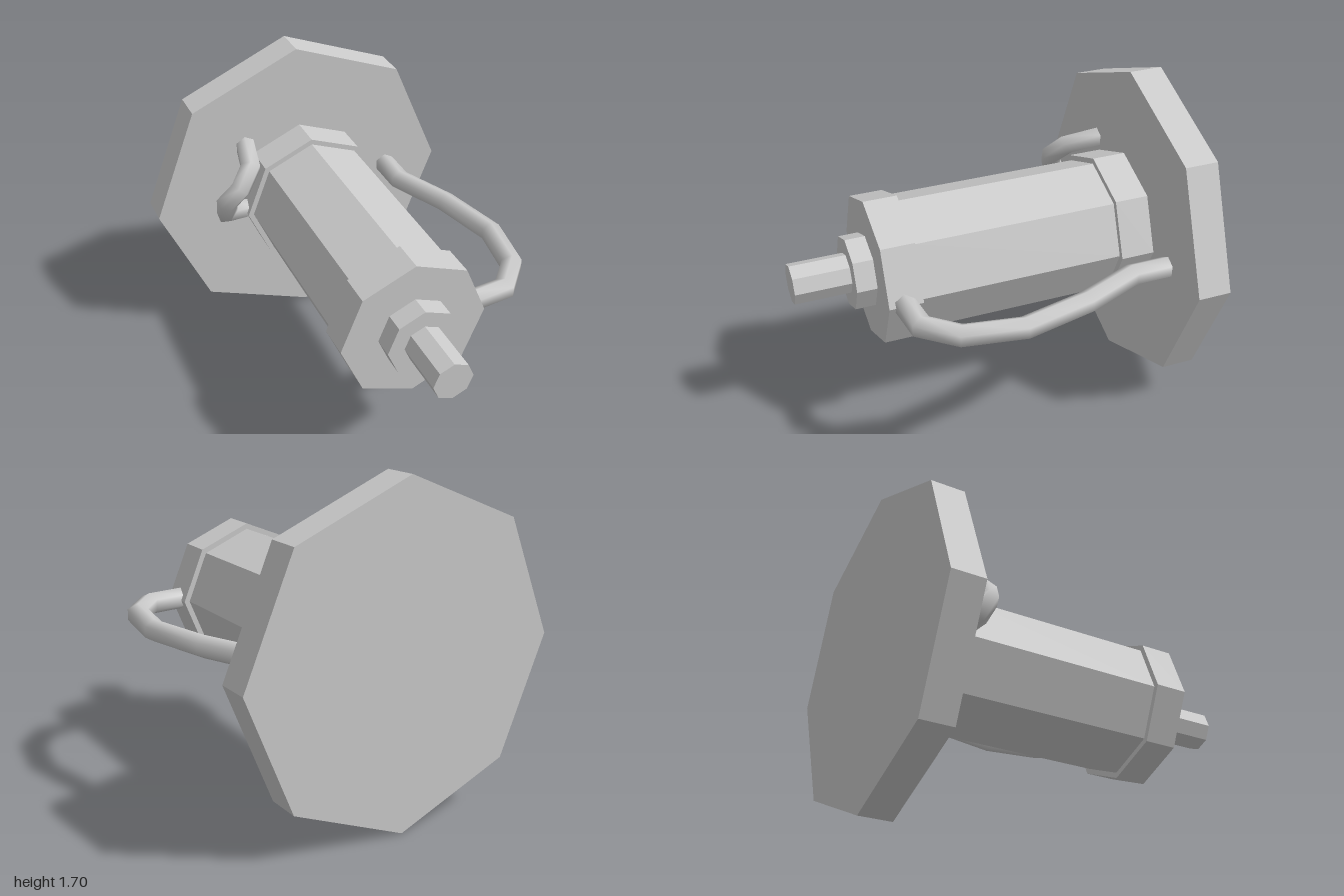
import * as THREE from 'three';

const AXIS_Y = 0.85;
const flat = new THREE.MeshStandardMaterial({ color: 0xcccccc, flatShading: true });
const smooth = new THREE.MeshStandardMaterial({ color: 0xcccccc, side: THREE.DoubleSide });

// Octagonal disc or shaft along z, corners on the axes
function octagon(name, radius, z0, z1) {
  const geo = new THREE.CylinderGeometry(radius, radius, z1 - z0, 8);
  geo.rotateX(Math.PI / 2);
  const mesh = new THREE.Mesh(geo, flat);
  mesh.name = name;
  mesh.position.set(0, AXIS_Y, (z0 + z1) / 2);
  return mesh;
}

// Six-sided pipe with mitred bends: each ring is slid along its segment onto the next mitre plane
function pipe(name, path, radius, sides = 6) {
  const pts = path.map(p => new THREE.Vector3(...p));
  const dirs = pts.slice(1).map((p, i) => p.clone().sub(pts[i]).normalize());
  const side = new THREE.Vector3(0, 1, 0).cross(dirs[0]).normalize();
  const up = dirs[0].clone().cross(side);
  let ring = [];
  for (let i = 0; i < sides; i++) {
    const a = (i / sides) * Math.PI * 2;
    ring.push(pts[0].clone()
      .addScaledVector(up, Math.cos(a) * radius)
      .addScaledVector(side, -Math.sin(a) * radius));
  }
  const positions = ring.flatMap(v => v.toArray());
  const index = [];
  for (let k = 1; k < pts.length; k++) {
    const d = dirs[k - 1];
    const normal = d.clone().add(dirs[k] ?? d).normalize();
    ring = ring.map(v => {
      const t = pts[k].clone().sub(v).dot(normal) / d.dot(normal);
      return v.clone().addScaledVector(d, t);
    });
    positions.push(...ring.flatMap(v => v.toArray()));
    for (let i = 0; i < sides; i++) {
      const a = (k - 1) * sides + i, b = (k - 1) * sides + (i + 1) % sides;
      index.push(a, b, b + sides, a, b + sides, a + sides);
    }
  }
  const geo = new THREE.BufferGeometry();
  geo.setAttribute('position', new THREE.Float32BufferAttribute(positions, 3));
  geo.setIndex(index);
  geo.computeVertexNormals();
  const mesh = new THREE.Mesh(geo, smooth);
  mesh.name = name;
  return mesh;
}

export function createModel() {
  const group = new THREE.Group();
  group.name = 'wallMountedPiston';

  // Stepped body, back to front
  group.add(
    octagon('mountingPlate', 0.85, -1, -0.825),
    octagon('rearCollar', 0.39, -0.825, -0.645),
    octagon('barrel', 0.36, -0.645, 0.43),
    octagon('frontCollar', 0.39, 0.43, 0.605),
    octagon('rodGland', 0.193, 0.605, 0.71),
    octagon('rod', 0.105, 0.71, 1),
  );

  // Long hose from the plate to the front collar
  group.add(pipe('longHose', [
    [0.533, AXIS_Y, -0.86], [0.533, AXIS_Y, -0.625], [0.665, AXIS_Y, -0.31],
    [0.75, AXIS_Y, 0.05], [0.7, AXIS_Y, 0.35], [0.565, AXIS_Y, 0.505],
    [0.34, AXIS_Y, 0.525],
  ], 0.058));

  // Short hose looping from the plate into the rear collar
  group.add(pipe('shortHose', [
    [-0.315, 1.19, -0.86], [-0.355, 1.15, -0.66], [-0.435, 1.06, -0.61],
    [-0.51, 0.97, -0.64], [-0.5, 0.88, -0.685], [-0.34, 0.845, -0.735],
  ], 0.056));

  return group;
}
